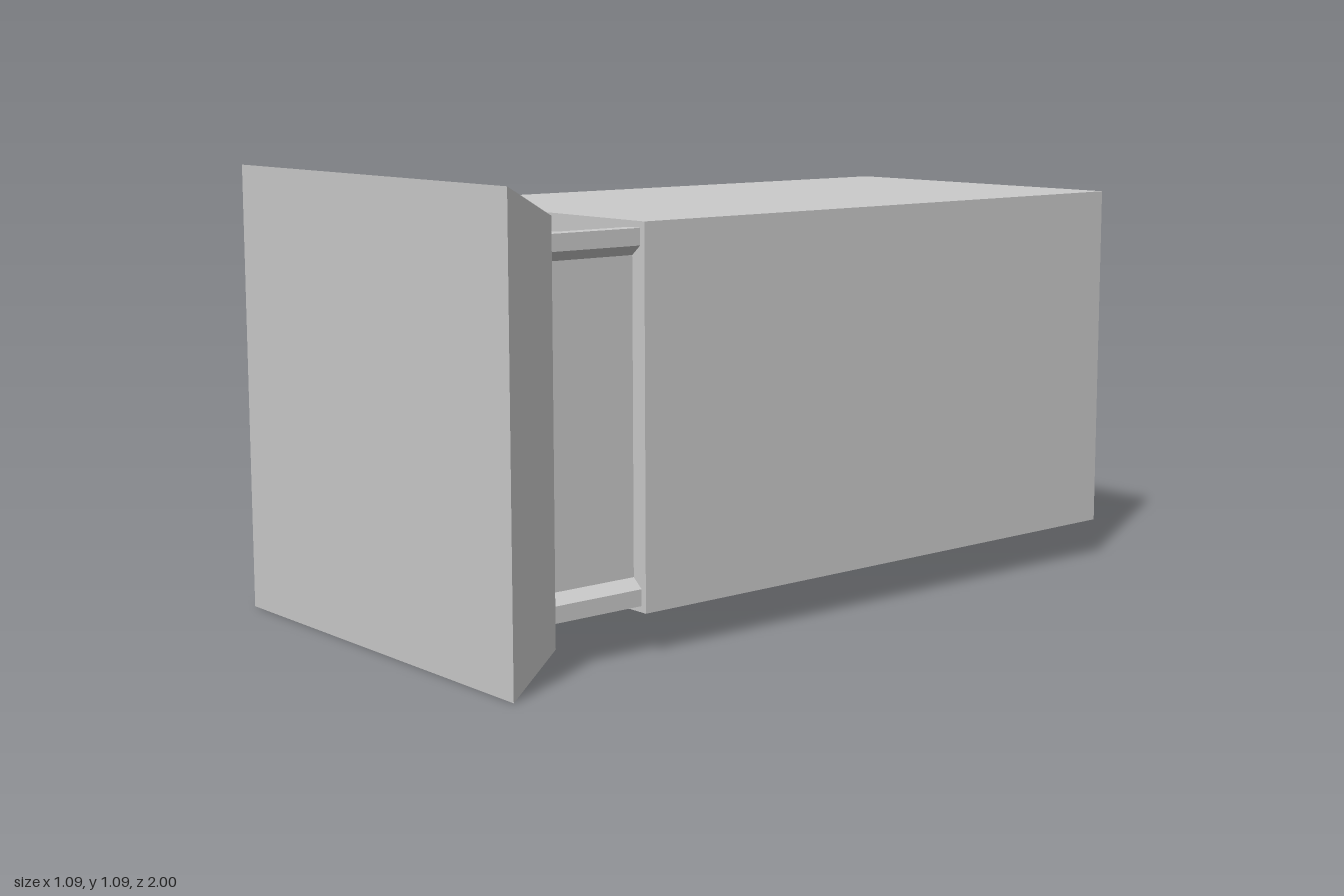
import * as THREE from 'three';

const CENTRE_Y = 0.543;
const BODY_FRONT = 0.56;
const PANEL_BACK = 0.835;

export function createModel() {
  const group = new THREE.Group();
  const material = new THREE.MeshStandardMaterial({ color: 0xcccccc, flatShading: true });

  const add = (name, geometry, z) => {
    const mesh = new THREE.Mesh(geometry, material);
    mesh.name = name;
    mesh.position.set(0, CENTRE_Y, z);
    group.add(mesh);
    return mesh;
  };

  // Long square body
  const bodyLength = BODY_FRONT + 1;
  add('body', new THREE.BoxGeometry(0.886, 0.886, bodyLength), -1 + bodyLength / 2);

  // Recessed neck between body and front panel
  const neckLength = PANEL_BACK - BODY_FRONT;
  const core = 0.4;
  add('neck', new THREE.BoxGeometry(core * 2, core * 2, neckLength), BODY_FRONT + neckLength / 2);

  // Corner rails with bevelled inner edges, wrapped around the neck corners
  const outer = 0.428, flat = 0.389, inner = 0.366;
  const profile = new THREE.Shape([
    [inner, core], [core, core], [core, inner],
    [outer, flat], [outer, outer], [flat, outer],
  ].map(([x, y]) => new THREE.Vector2(x, y)));
  for (let i = 0; i < 4; i++) {
    const rail = new THREE.ExtrudeGeometry(profile, { depth: neckLength, bevelEnabled: false });
    add('cornerRail' + (i + 1), rail.rotateZ(i * Math.PI / 2), BODY_FRONT);
  }

  // Front panel: a square frustum widening towards the front
  const panelDepth = 1 - PANEL_BACK;
  const panel = new THREE.CylinderGeometry(0.543 * Math.SQRT2, 0.471 * Math.SQRT2, panelDepth, 4)
    .rotateY(Math.PI / 4)
    .rotateX(Math.PI / 2);
  add('frontPanel', panel, PANEL_BACK + panelDepth / 2);

  return group;
}
